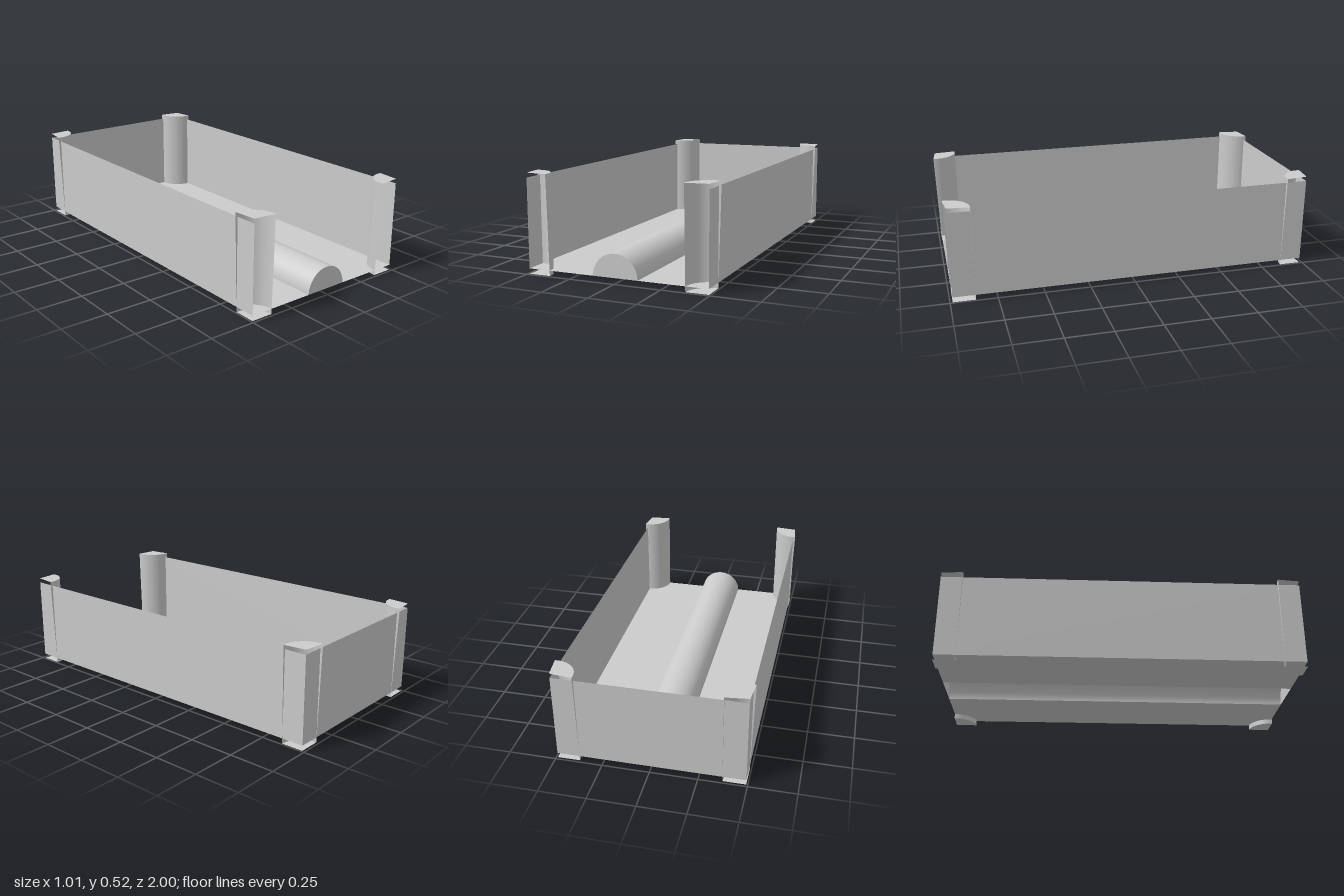
import * as THREE from 'three';
import { ParametricGeometry } from 'three/addons/geometries/ParametricGeometry.js';

const X = 0.492, Z = 0.986;      // half width and half length of the tray
const FLOOR = 0.028, RIM = 0.495; // bottom and top of the walls
const RIDGE = 0.122;             // radius of the ridge along the floor
const POST_R = 0.12, POST_H = 0.52, FLARE = 0.115;

export function createModel() {
  const model = new THREE.Group();
  const material = new THREE.MeshStandardMaterial({ color: 0xcccccc, side: THREE.DoubleSide });

  const add = (name, geometry, parent = model) => {
    const mesh = new THREE.Mesh(geometry, material);
    mesh.name = name;
    parent.add(mesh);
    return mesh;
  };

  // Thin side walls and floor strips, one of each per side
  const wallHeight = RIM - FLOOR, wallY = (RIM + FLOOR) / 2;
  for (const [side, s] of [['left', 1], ['right', -1]]) {
    const wall = add(side + 'Wall', new THREE.PlaneGeometry(2 * Z, wallHeight));
    wall.rotation.y = s * Math.PI / 2;
    wall.position.set(s * X, wallY, 0);

    const floor = add(side + 'Floor', new THREE.PlaneGeometry(X - RIDGE, 2 * Z));
    floor.rotation.x = -Math.PI / 2;
    floor.position.set(s * (X + RIDGE) / 2, FLOOR, 0);
  }

  // Back wall; the front stays open
  const back = add('backWall', new THREE.PlaneGeometry(2 * X, wallHeight));
  back.rotation.y = Math.PI;
  back.position.set(0, wallY, -Z);

  // Half-round ridge, hollow underneath, closed at the front
  const ridge = add('ridge', new THREE.CylinderGeometry(RIDGE, RIDGE, 2 * Z, 40, 1, true, Math.PI / 2, Math.PI));
  ridge.rotation.x = Math.PI / 2;
  ridge.position.y = FLOOR;
  const ridgeEnd = add('ridgeEnd', new THREE.CircleGeometry(RIDGE, 40, 0, Math.PI));
  ridgeEnd.position.set(0, FLOOR, Z);

  // Corner post: a quarter-round shell whose edges flare open towards the top
  const shell = new ParametricGeometry((u, v, target) => {
    const flare = FLARE * v;
    const a = Math.PI - flare + u * (Math.PI / 2 + 2 * flare);
    target.set(POST_R * Math.cos(a), POST_H * v, POST_R * Math.sin(a));
  }, 24, 8);
  const topCap = new THREE.CircleGeometry(POST_R, 24, Math.PI / 2 - FLARE, Math.PI / 2 + 2 * FLARE)
    .rotateX(-Math.PI / 2).translate(0, POST_H, 0);
  const bottomCap = new THREE.CircleGeometry(POST_R, 24, Math.PI, Math.PI / 2).rotateX(Math.PI / 2);

  // Four posts, each turned a quarter further to face the middle
  const corners = [['frontLeft', 1, 1], ['backLeft', 1, -1], ['backRight', -1, -1], ['frontRight', -1, 1]];
  corners.forEach(([name, sx, sz], i) => {
    const post = new THREE.Group();
    post.name = name + 'Post';
    add('postShell', shell, post);
    add('postTop', topCap, post);
    add('postBottom', bottomCap, post);
    post.position.set(sx * X, 0, sz * Z);
    post.rotation.y = i * Math.PI / 2;
    model.add(post);
  });

  return model;
}
